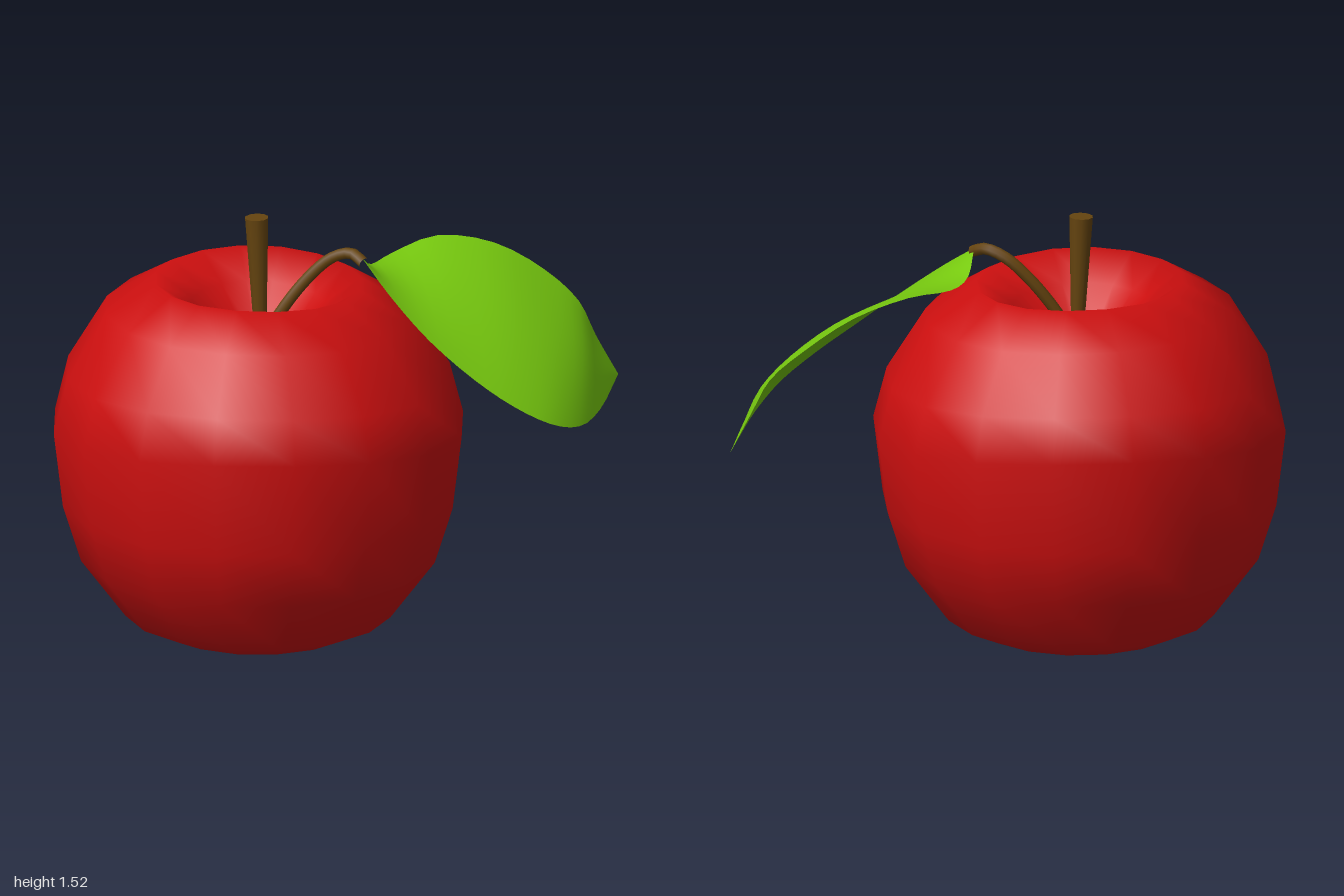
import * as THREE from 'three';
import { mergeVertices } from 'three/addons/utils/BufferGeometryUtils.js';

const skin = new THREE.MeshStandardMaterial({ name: 'red skin', color: 0xcc0f0f });
const bark = new THREE.MeshStandardMaterial({ name: 'brown stem', color: 0x65440f });
const leafGreen = new THREE.MeshStandardMaterial({ name: 'leaf green', color: 0x78cb0f, side: THREE.DoubleSide });

const CENTRE_X = -0.27;

function addMesh(group, name, geometry, material) {
  const mesh = new THREE.Mesh(geometry, material);
  mesh.name = name;
  group.add(mesh);
  return mesh;
}

const curve = (points) => new THREE.CatmullRomCurve3(points.map((p) => new THREE.Vector3(...p)));

// Faceted but smooth-shaded body with a hollow at each end
function appleGeometry() {
  const profile = [
    [0, 0.24], [0.08, 0.2], [0.2, 0.08], [0.36, 0], [0.48, 0.055], [0.64, 0.27], [0.705, 0.48],
    [0.738, 0.79], [0.69, 0.97], [0.55, 1.185], [0.37, 1.29], [0.24, 1.2], [0.1, 1.06], [0, 0.96],
  ].map(([r, y]) => new THREE.Vector2(r, y));
  const sides = 16;
  let geometry = new THREE.LatheGeometry(profile, sides, Math.PI / sides);
  geometry.deleteAttribute('uv');
  geometry.deleteAttribute('normal');
  geometry = mergeVertices(geometry, 1e-4);

  // Slight irregularity: lower on the leaf side, fuller shoulders front and back
  const pos = geometry.attributes.position;
  for (let i = 0; i < pos.count; i++) {
    const x = pos.getX(i), y = pos.getY(i), z = pos.getZ(i);
    const high = THREE.MathUtils.smoothstep(y, 0.7, 1.2);
    const belly = Math.max(0, 1 - Math.abs(y - 0.8) / 0.35);
    pos.setY(i, y - 0.05 * high * Math.max(0, x) + 0.08 * belly * (z * z - x * x));
  }
  geometry.computeVertexNormals();
  return geometry;
}

// Curved sheet stretched between two edge curves that meet at base and tip
function leafGeometry() {
  const base = [0.1, 1.39, 0.07], tip = [1, 0.8, -0.41];
  const front = curve([
    base, [0.2, 1.29, 0.19], [0.34, 1.16, 0.295], [0.5, 1.03, 0.34], [0.64, 0.93, 0.34],
    [0.77, 0.845, 0.28], [0.87, 0.785, 0.13], [0.94, 0.77, -0.1], tip,
  ]);
  const back = curve([
    base, [0.13, 1.325, -0.06], [0.2, 1.32, -0.2], [0.36, 1.34, -0.34], [0.56, 1.29, -0.41],
    [0.74, 1.18, -0.435], [0.86, 1.07, -0.42], [0.92, 0.95, -0.4], tip,
  ]);
  const geometry = new THREE.PlaneGeometry(1, 1, 24, 10);
  const { position, uv } = geometry.attributes;
  for (let i = 0; i < position.count; i++) {
    const u = uv.getX(i), v = uv.getY(i);
    const p = front.getPoint(u).lerp(back.getPoint(u), v);
    const camber = 0.03 * Math.sin(Math.PI * u) * Math.sin(Math.PI * v);
    position.setXYZ(i, p.x + camber * 0.6, p.y + camber, p.z);
  }
  geometry.computeVertexNormals();
  return geometry;
}

export function createModel() {
  const group = new THREE.Group();
  group.name = 'apple';

  addMesh(group, 'fruit', appleGeometry(), skin).position.x = CENTRE_X;

  // Upright stem, flaring towards the cut end
  const stem = addMesh(group, 'stem', new THREE.CylinderGeometry(0.043, 0.018, 0.54, 10), bark);
  stem.position.set(-0.268, 1.25, 0.006);
  stem.rotation.z = 0.03;

  // Thin stalk arching from the hollow to the leaf
  const stalkPath = curve([
    [-0.26, 1.03, 0], [-0.2, 1.15, 0], [-0.1, 1.285, -0.005], [-0.01, 1.37, 0.005],
    [0.06, 1.397, 0.035], [0.105, 1.375, 0.08],
  ]);
  addMesh(group, 'leafStalk', new THREE.TubeGeometry(stalkPath, 20, 0.021, 8), bark);

  addMesh(group, 'leaf', leafGeometry(), leafGreen);
  return group;
}
